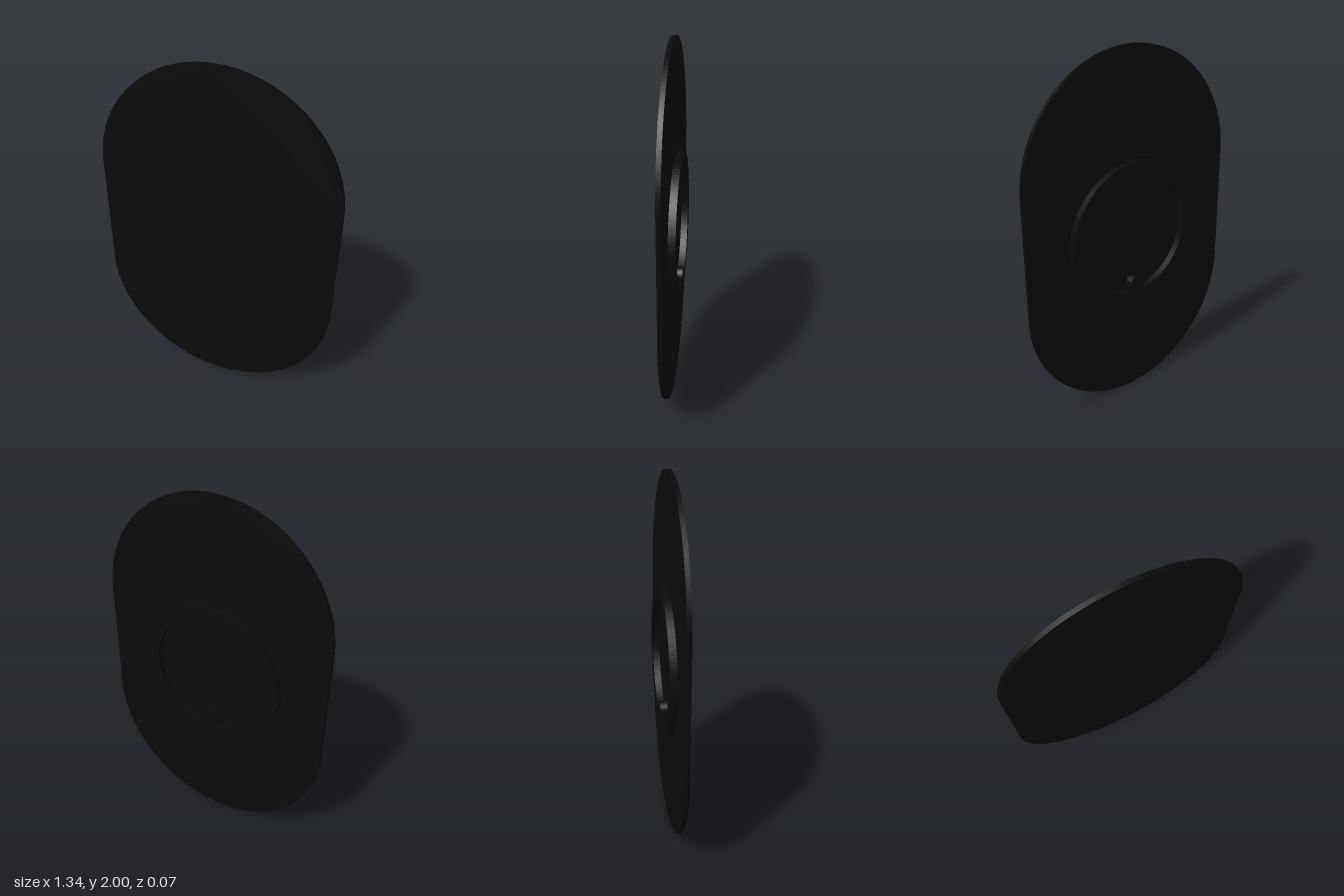
import * as THREE from 'three';

export function createModel() {
  const group = new THREE.Group();
  const material = new THREE.MeshStandardMaterial({ color: 0x0a0a0a });

  // Extrudes a flat outline between two z positions
  const addSlab = (name, shape, y, zBack, zFront) => {
    const geometry = new THREE.ExtrudeGeometry(shape, {
      depth: zFront - zBack, bevelEnabled: false, curveSegments: 64,
    });
    const mesh = new THREE.Mesh(geometry, material);
    mesh.name = name;
    mesh.position.set(0, y, zBack);
    group.add(mesh);
  };
  const disc = (radius) => new THREE.Shape().absarc(0, 0, radius, 0, Math.PI * 2, false);

  // Thin panel with semicircular ends
  const r = 0.67;
  const outline = new THREE.Shape();
  outline.absarc(0, 1 - r, r, 0, Math.PI, false);
  outline.absarc(0, r - 1, r, Math.PI, Math.PI * 2, false);
  outline.closePath();
  addSlab('panel', outline, 1, 0.009, 0.033);

  // Raised mounting ring on the back
  const ring = disc(0.417);
  ring.holes.push(new THREE.Path().absarc(0, 0, 0.345, 0, Math.PI * 2, true));
  addSlab('backRing', ring, 0.99, -0.03, 0.01);

  // Small round button low inside the ring
  addSlab('backButton', disc(0.047), 0.69, -0.033, 0.01);

  return group;
}
